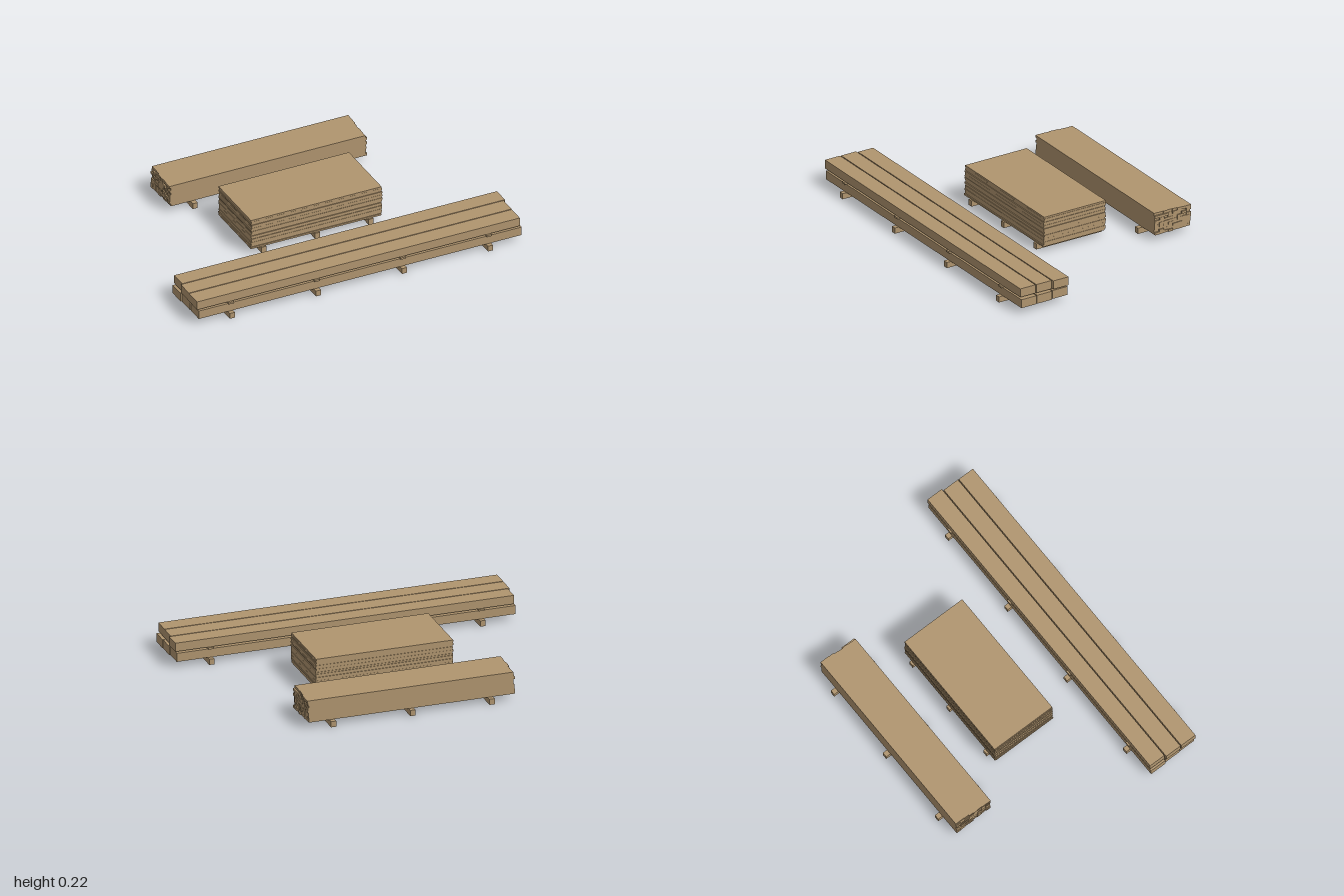
import * as THREE from 'three';

export function createModel() {
  const model = new THREE.Group();
  model.name = 'timberStacks';
  const wood = new THREE.MeshStandardMaterial({ color: 0xb0956f });
  wood.name = 'sawn wood';

  // Small seeded generator, returns -1..1
  let seed = 7;
  const jitter = () => {
    seed = (seed * 16807) % 2147483647;
    return (seed / 2147483647) * 2 - 1;
  };

  const group = (name) => {
    const g = new THREE.Group();
    g.name = name;
    model.add(g);
    return g;
  };

  // Box given by its limits on each axis
  const box = (parent, name, x0, x1, y0, y1, z0, z1) => {
    const mesh = new THREE.Mesh(new THREE.BoxGeometry(x1 - x0, y1 - y0, z1 - z0), wood);
    mesh.position.set((x0 + x1) / 2, (y0 + y1) / 2, (z0 + z1) / 2);
    mesh.name = name;
    parent.add(mesh);
  };

  // Bearers running front to back beneath a stack
  const BASE = 0.034;
  const bearers = (parent, xs, z0, z1) =>
    xs.forEach((x) => box(parent, 'bearer', x - 0.015, x + 0.015, 0, BASE, z0, z1));

  // Long beams: two layers of three, parted by thin spacers
  const beams = group('beamStack');
  const beamX = [-0.795, -0.265, 0.265, 0.795];
  bearers(beams, beamX, 0.35, 0.71);
  const shifts = [[-0.003, 0.003, 0.005], [0.006, -0.005, -0.006]];
  [BASE, 0.096].forEach((y, row) => {
    for (let col = 0; col < 3; col++) {
      const z = 0.377 + col * 0.1045;
      const s = shifts[row][col];
      box(beams, 'beam', -0.994 + s, 0.994 + s, y, y + 0.051, z, z + 0.099);
    }
  });
  beamX.forEach((x) => box(beams, 'spacer', x - 0.015, x + 0.015, 0.085, 0.096, 0.367, 0.697));

  // Sheets piled slightly out of line
  const sheets = group('sheetStack');
  bearers(sheets, [-0.33, 0, 0.33], -0.265, 0.165);
  const SHEETS = 18;
  const thick = (0.215 - BASE) / SHEETS;
  for (let i = 0; i < SHEETS; i++) {
    const top = i === SHEETS - 1;
    const dx = top ? 0 : jitter() * 0.003;
    const dz = top ? -0.002 : jitter() * 0.004;
    const y = BASE + i * thick;
    box(sheets, 'sheet', -0.402 + dx, 0.402 + dx, y, y + thick, -0.252 + dz, 0.152 + dz);
  }

  // Bundle of narrow boards with uneven ends
  const boards = group('boardStack');
  bearers(boards, [-0.465, 0, 0.465], -0.71, -0.415);
  const ROWS = 9, COLS = 8;
  const h = (0.164 - BASE) / ROWS;
  const w = 0.236 / COLS;
  for (let row = 0; row < ROWS; row++) {
    for (let col = 0; col < COLS; col++) {
      const dx = jitter() * 0.006;
      const y = BASE + row * h;
      const z = -0.681 + col * w;
      box(boards, 'board', -0.604 + dx, 0.604 + dx, y, y + h, z, z + w);
    }
  }

  return model;
}
